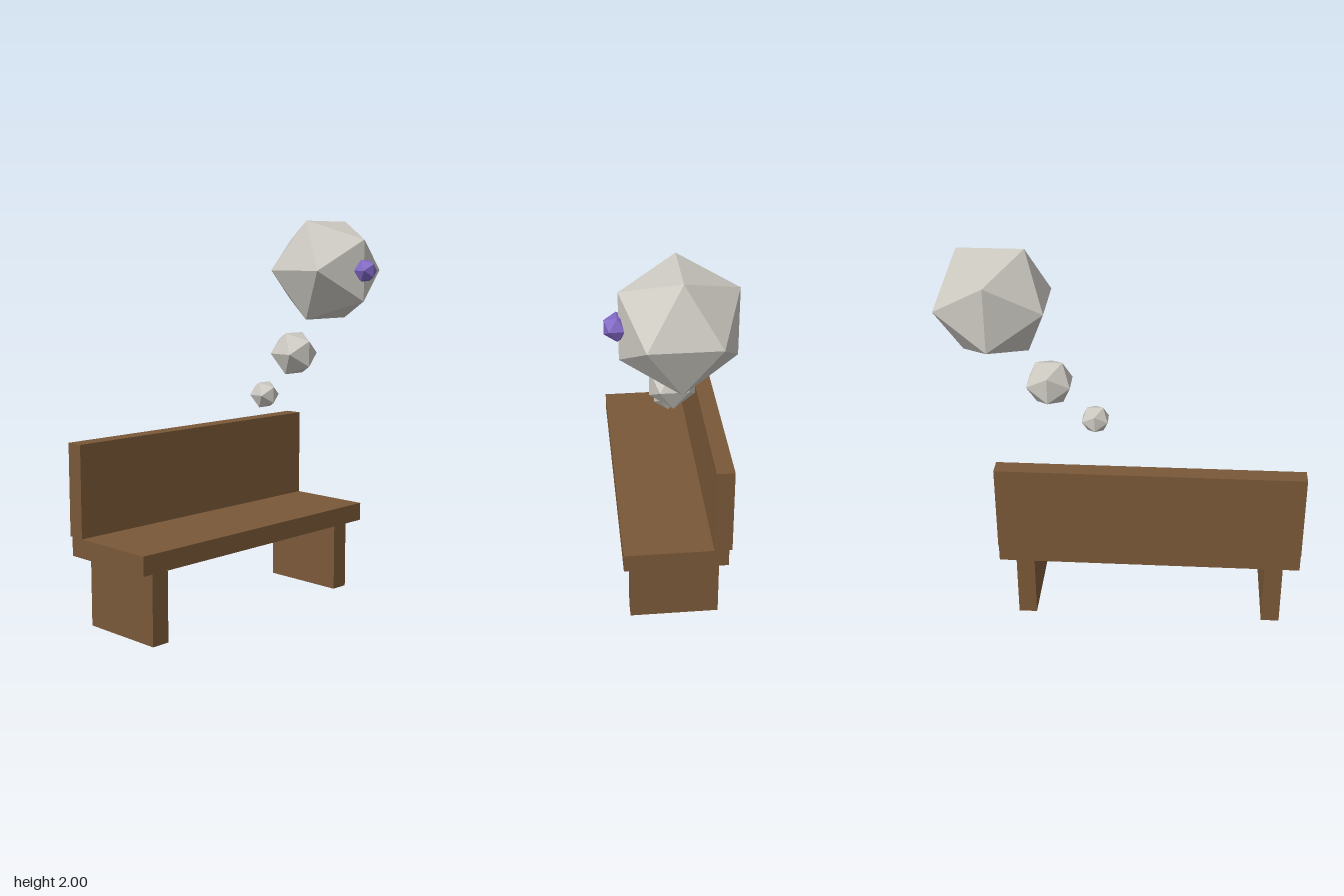
import * as THREE from 'three';

export function createModel() {
  const model = new THREE.Group();
  const material = (name, color) => {
    const m = new THREE.MeshStandardMaterial({ color, flatShading: true });
    m.name = name;
    return m;
  };
  const wood = material('brown wood', 0x7a5838);
  const pale = material('pale grey', 0xcbc8c0);
  const purple = material('purple', 0x7f66c4);

  const add = (parent, name, geometry, mat, x, y, z) => {
    const mesh = new THREE.Mesh(geometry, mat);
    mesh.name = name;
    mesh.position.set(x, y, z);
    parent.add(mesh);
  };

  // Bench, centred left of the floating balls
  const bench = new THREE.Group();
  bench.name = 'bench';
  bench.position.x = -0.135;
  model.add(bench);
  const length = 1.574;
  add(bench, 'seat', new THREE.BoxGeometry(length, 0.095, 0.527), wood, 0, 0.4115, -0.026);
  add(bench, 'backrest', new THREE.BoxGeometry(length, 0.462, 0.09), wood, 0, 0.69, -0.26);
  for (const side of [-1, 1]) {
    add(bench, side < 0 ? 'rightLeg' : 'leftLeg',
      new THREE.BoxGeometry(0.096, 0.364, 0.456), wood, side * 0.656, 0.182, -0.026);
  }

  // Rising trail of faceted balls, with a small purple one on the largest
  const balls = [
    ['smallBall', 0.078, pale, 0.158, 1.085, -0.026],
    ['mediumBall', 0.13, pale, 0.389, 1.29, -0.026],
    ['largeBall', 0.314, pale, 0.652, 1.733, -0.026],
    ['purpleBall', 0.0665, purple, 0.652, 1.733, 0.249],
  ];
  for (const [name, radius, mat, x, y, z] of balls) {
    add(model, name, new THREE.IcosahedronGeometry(radius, 0), mat, x, y, z);
  }
  return model;
}
